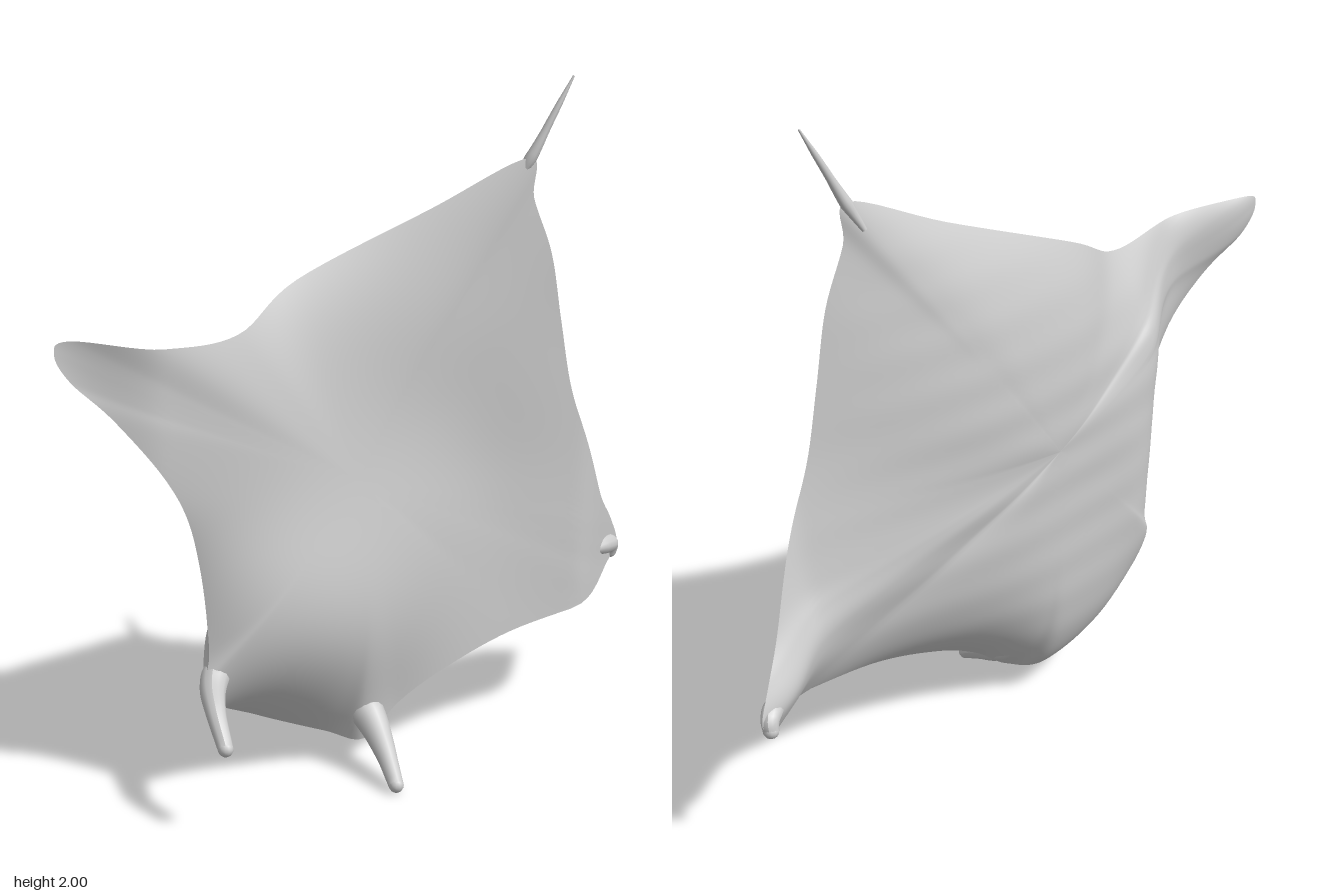
import * as THREE from 'three';

const material = new THREE.MeshStandardMaterial({ color: 0xcccccc, side: THREE.DoubleSide });
const { smoothstep: smooth, lerp } = THREE.MathUtils;
const CX = -0.1, CY = 0.9;

// Rim of the gliding membrane, clockwise from the tail: x, y, z
const rim = [
  [0.47, 1.77, 0.02], [0.49, 1.65, 0.02], [0.555, 1.48, 0.02], [0.6, 1.27, 0.01], [0.65, 1.05, 0],
  [0.73, 0.86, -0.01], [0.83, 0.67, -0.02], [0.93, 0.55, -0.03], [0.98, 0.45, -0.04],
  [0.93, 0.4, -0.04], [0.8, 0.355, -0.03], [0.45, 0.32, -0.01], [0.2, 0.25, 0],
  [0.05, 0.18, 0], [-0.07, 0.09, 0], [-0.16, 0.105, -0.08], [-0.38, 0.2, -0.09],
  [-0.59, 0.33, 0], [-0.57, 0.46, -0.01], [-0.59, 0.72, -0.02], [-0.66, 0.93, 0],
  [-0.83, 1.17, 0.02], [-0.94, 1.29, 0.02], [-0.98, 1.37, 0.02], [-0.94, 1.405, 0.02],
  [-0.7, 1.37, 0.02], [-0.45, 1.365, -0.03], [-0.23, 1.48, -0.09], [0.18, 1.645, -0.04],
];
const rimCurve = new THREE.CatmullRomCurve3(
  rim.map((p) => new THREE.Vector3(...p)), true, 'catmullrom', 0.5);

// The back is full towards the lower edge and tapers gently towards the tail
function bluntness(p) {
  const d = new THREE.Vector2(p.x - CX, p.y - CY).normalize();
  return 1.5 + 0.7 * Math.max(0, d.y) + 4.5 * Math.max(0, -0.55 * d.x - 0.83 * d.y);
}

const bump = (x, y, cx, cy, rx, ry) => Math.exp(-(((x - cx) / rx) ** 2) - ((y - cy) / ry) ** 2);

// Wing corners sweep backwards
const bend = (x) => -0.1 * smooth(-x, 0.7, 1) - 0.17 * smooth(x, 0.68, 1.01);

function frontZ(x, y, z, s, blunt) {
  const belly = 0.09 * bump(x, y, -0.2, 0.52, 0.38, 0.35) - 0.02 * bump(x, y, 0.35, 0.85, 0.2, 0.4);
  const folds = 0.004 * Math.sin(9 * x + 4 * y) * Math.sin(7 * y - 3 * x);
  return lerp(belly + folds, z, s ** Math.max(2.6, 1.2 * blunt)) + bend(x);
}

function backZ(x, y, z, s, blunt) {
  const gate = smooth(x, -0.74, -0.48);
  // Level lines are round near the middle and follow the rim further out
  const round = Math.min(1, lerp(Math.hypot(x - CX, y - CY) / 0.85, s, s));
  const deep = lerp(z, -0.2, (1 - round ** blunt) * gate);
  const flesh = 0.035 * (1 - gate) + 0.06 * bump(x, y, 0.83, 0.47, 0.15, 0.15);
  const ripple = 0.002 * Math.sin(45 * y + 5 * x) * (1 - s);
  return deep - flesh * (1 - s ** 8) + ripple + bend(x);
}

// One sheet of concentric rings growing from the centre to the rim
function sheet(heightAt, isFront) {
  const rings = 36, n = 232, pos = [], index = [];
  for (let i = 0; i <= rings; i++) {
    const s = 1 - (1 - i / rings) ** 1.35;
    for (let j = 0; j < n; j++) {
      const p = rimCurve.getPoint(j / n);
      const x = CX + (p.x - CX) * s, y = CY + (p.y - CY) * s;
      pos.push(x, y, heightAt(x, y, p.z, s, bluntness(p)));
      if (i === rings) continue;
      const k = (j + 1) % n;
      const a = i * n + j, b = a + n, c = (i + 1) * n + k, d = i * n + k;
      if (isFront) index.push(a, c, b, a, d, c);
      else index.push(a, b, c, a, c, d);
    }
  }
  const g = new THREE.BufferGeometry();
  g.setAttribute('position', new THREE.Float32BufferAttribute(pos, 3));
  g.setIndex(index);
  g.computeVertexNormals();
  return g;
}

// Tapered limb along a path with a rounded end
function limb(name, points, radii) {
  const path = new THREE.CatmullRomCurve3(points.map((p) => new THREE.Vector3(...p)));
  const steps = 20, sides = 12;
  const g = new THREE.TubeGeometry(path, steps, 1, sides);
  const pos = g.attributes.position, v = new THREE.Vector3();
  for (let i = 0; i < pos.count; i++) {
    const t = Math.floor(i / (sides + 1)) / steps;
    const f = t * (radii.length - 1), k = Math.min(Math.floor(f), radii.length - 2);
    const r = lerp(radii[k], radii[k + 1], f - k);
    const c = path.getPointAt(t);
    v.fromBufferAttribute(pos, i).sub(c).multiplyScalar(r).add(c);
    pos.setXYZ(i, v.x, v.y, v.z);
  }
  g.computeVertexNormals();
  const group = new THREE.Group();
  group.name = name;
  const end = new THREE.Mesh(new THREE.SphereGeometry(radii.at(-1), 12, 8), material);
  end.position.copy(path.getPoint(1));
  end.name = name + 'End';
  const tube = new THREE.Mesh(g, material);
  tube.name = name + 'Shaft';
  group.add(tube, end);
  return group;
}

export function createModel() {
  const model = new THREE.Group();
  model.name = 'glidingBody';

  // Belly and back of the membrane
  const belly = new THREE.Mesh(sheet(frontZ, true), material);
  belly.name = 'bellySurface';
  const back = new THREE.Mesh(sheet(backZ, false), material);
  back.name = 'backSurface';
  model.add(belly, back);

  // Tail and clawed limbs, rooted inside the body
  model.add(
    limb('tail', [[0.44, 1.69, -0.01], [0.485, 1.78, 0.018], [0.535, 1.88, 0.035], [0.598, 1.998, 0.05]],
      [0.008, 0.018, 0.012, 0.009, 0.003]),
    limb('rightHook', [[-0.5, 0.42, -0.07], [-0.575, 0.365, 0.02], [-0.62, 0.335, 0.12], [-0.638, 0.262, 0.21]],
      [0.03, 0.042, 0.034, 0.027, 0.022]),
    limb('lowerHook', [[-0.07, 0.22, -0.06], [-0.055, 0.15, 0.02], [-0.065, 0.09, 0.11], [-0.085, 0.023, 0.207]],
      [0.04, 0.05, 0.038, 0.028, 0.022]),
    limb('leftHook', [[0.84, 0.47, -0.14], [0.91, 0.465, -0.17], [0.95, 0.45, -0.2], [0.955, 0.425, -0.21]],
      [0.015, 0.028, 0.03, 0.023]),
  );
  return model;
}
